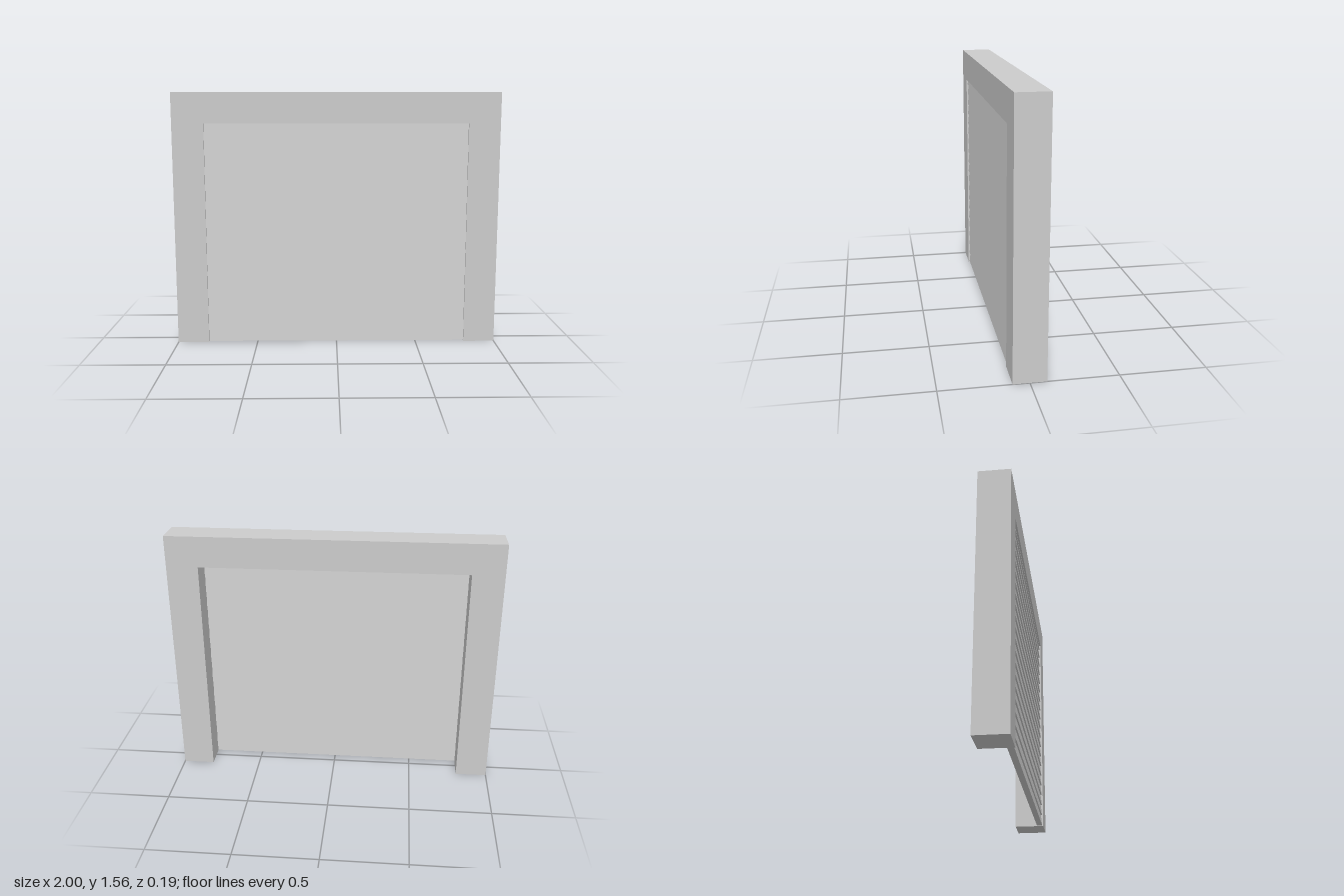
import * as THREE from 'three';

const HEIGHT = 1.565, OPENING = 1.377, INNER = 0.807, DEPTH = 0.19;
const SLATS = 20, PITCH = 0.0705, DOOR_BOTTOM = 0.005;

export function createModel() {
  const model = new THREE.Group();
  model.name = 'rollerDoor';
  const material = new THREE.MeshStandardMaterial({ color: 0xcccccc, flatShading: true });

  const add = (name, geometry, x, y, z, parent = model) => {
    const mesh = new THREE.Mesh(geometry, material);
    mesh.name = name;
    mesh.position.set(x, y, z);
    parent.add(mesh);
  };

  // Frame: two posts carrying a full-width lintel
  const post = new THREE.BoxGeometry(1 - INNER, OPENING, DEPTH);
  for (const [name, side] of [['leftPost', 1], ['rightPost', -1]]) {
    add(name, post, side * (1 + INNER) / 2, OPENING / 2, 0);
  }
  add('lintel', new THREE.BoxGeometry(2, HEIGHT - OPENING, DEPTH), 0, (HEIGHT + OPENING) / 2, 0);

  // Slat cross-section (shape x is depth): wider at its lower edge, so each row steps
  const slatGeometry = (height) => {
    const taper = 0.008 * height / PITCH;
    const section = new THREE.Shape([
      new THREE.Vector2(0.052, 0),
      new THREE.Vector2(0.088, 0),
      new THREE.Vector2(0.088 - taper, height),
      new THREE.Vector2(0.052 + taper, height),
    ]);
    const geometry = new THREE.ExtrudeGeometry(section, { depth: 2 * INNER, bevelEnabled: false });
    geometry.translate(0, 0, -INNER);
    geometry.rotateY(-Math.PI / 2);
    return geometry;
  };

  // Shutter: a stack of slats, the last one cut off by the lintel
  const shutter = new THREE.Group();
  shutter.name = 'shutter';
  model.add(shutter);
  const fullSlat = slatGeometry(PITCH);
  for (let i = 0; i < SLATS; i++) {
    const y = DOOR_BOTTOM + i * PITCH;
    const height = Math.min(PITCH, OPENING - y);
    add('slat', height < PITCH ? slatGeometry(height) : fullSlat, 0, y, 0, shutter);
  }
  return model;
}
